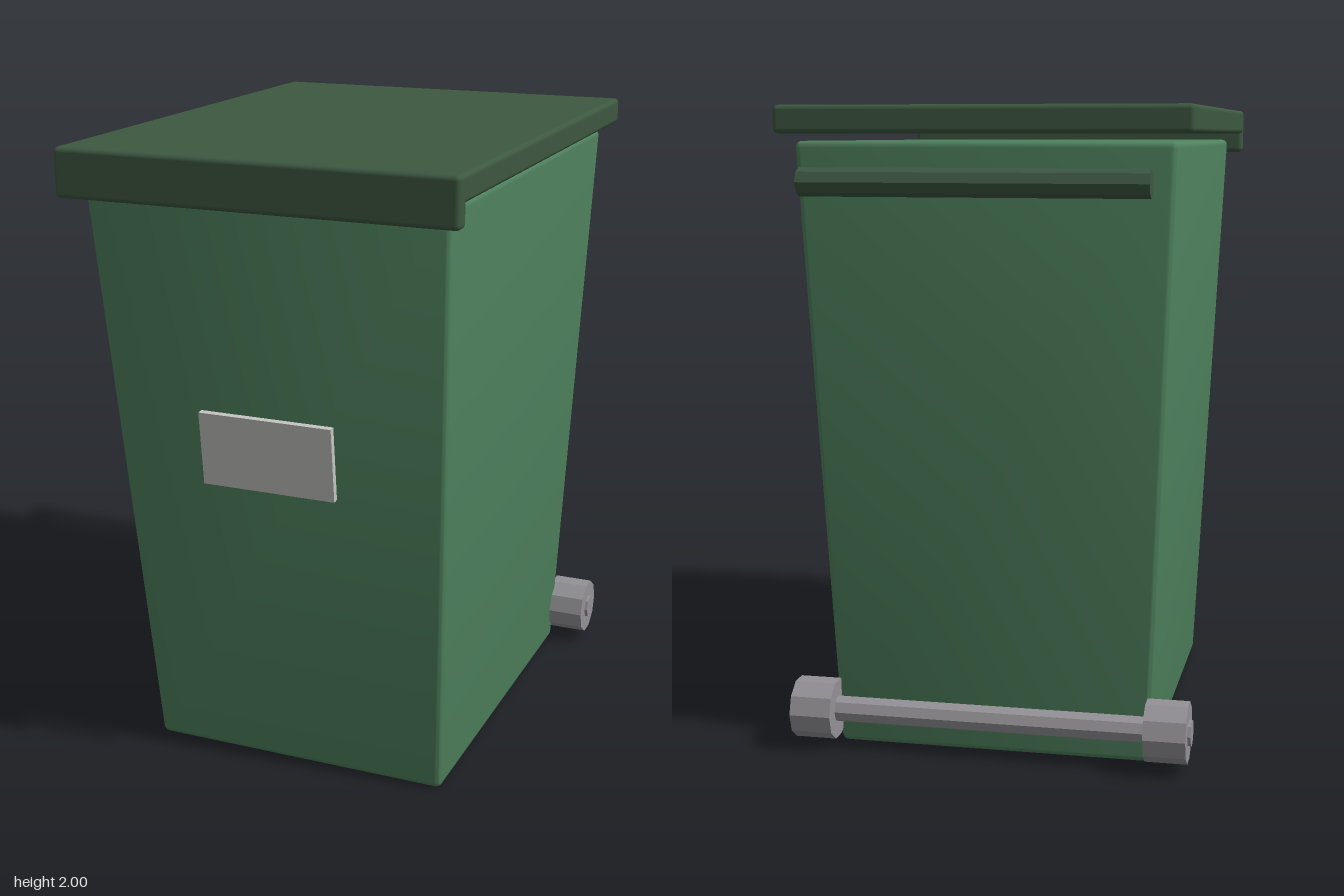
import * as THREE from 'three';
import { RoundedBoxGeometry } from 'three/addons/geometries/RoundedBoxGeometry.js';
import { toCreasedNormals } from 'three/addons/utils/BufferGeometryUtils.js';

const material = (name, color, flatShading = false) => {
  const m = new THREE.MeshStandardMaterial({ color, flatShading });
  m.name = name;
  return m;
};

export function createModel() {
  const green = material('body green', 0x4f825e);
  const darkGreen = material('dark green', 0x3d5841);
  const grey = material('wheel grey', 0x949296);
  const pale = material('label grey', 0xc4c4c2);

  const group = new THREE.Group();
  const add = (parent, name, geometry, mat, x, y, z) => {
    const mesh = new THREE.Mesh(geometry, mat);
    mesh.name = name;
    mesh.position.set(x, y, z);
    parent.add(mesh);
    return mesh;
  };
  // Faceted rod lying along x
  const rod = (radius, length, sides) => toCreasedNormals(
    new THREE.CylinderGeometry(radius, radius, length, sides).rotateZ(Math.PI / 2), 0.3);

  // Tapered container: a rounded box widened towards the top
  const height = 1.895;
  const body = new RoundedBoxGeometry(2, height, 2, 3, 0.02);
  const p = body.attributes.position;
  for (let i = 0; i < p.count; i++) {
    const t = p.getY(i) / height + 0.5;
    const halfX = THREE.MathUtils.lerp(0.495, 0.573, t);
    const front = THREE.MathUtils.lerp(0.613, 0.81, t);
    const back = THREE.MathUtils.lerp(-0.607, -0.722, t);
    // keep the corner rounding at its true size
    const x = p.getX(i), z = p.getZ(i);
    p.setX(i, Math.sign(x) * (halfX - 1 + Math.abs(x)));
    p.setZ(i, z > 0 ? front - 1 + z : back + 1 + z);
  }
  add(group, 'body', toCreasedNormals(body, 0.6), green, 0, height / 2, 0);

  // Lid with its front lip
  const lid = new THREE.Group();
  lid.name = 'lid';
  group.add(lid);
  add(lid, 'lidPanel', new RoundedBoxGeometry(1.25, 0.083, 1.65, 3, 0.015), darkGreen, 0, 1.9585, 0.06);
  add(lid, 'lidLip', new RoundedBoxGeometry(1.25, 0.15, 0.055, 3, 0.015), darkGreen, 0, 1.925, 0.8575);

  // Rear handle
  const handle = new THREE.Group();
  handle.name = 'handle';
  group.add(handle);
  add(handle, 'handleBar', rod(0.042, 1.03, 8), darkGreen, 0, 1.778, -0.846);
  for (const side of [-1, 1]) {
    add(handle, 'handleArm', new THREE.BoxGeometry(0.058, 0.076, 0.17), darkGreen, side * 0.457, 1.778, -0.765);
  }

  // Axle and wheels
  const wheels = new THREE.Group();
  wheels.name = 'wheels';
  group.add(wheels);
  add(wheels, 'axle', rod(0.042, 1.26, 8), grey, 0, 0.122, -0.65);
  for (const side of [-1, 1]) {
    add(wheels, 'wheel', rod(0.095, 0.13, 10), grey, side * 0.555, 0.122, -0.65);
  }

  // Tilted front label plate
  const label = add(group, 'label', new THREE.BoxGeometry(0.43, 0.234, 0.02), pale, 0, 1.107, 0.789);
  label.rotation.x = 0.1;

  return group;
}
